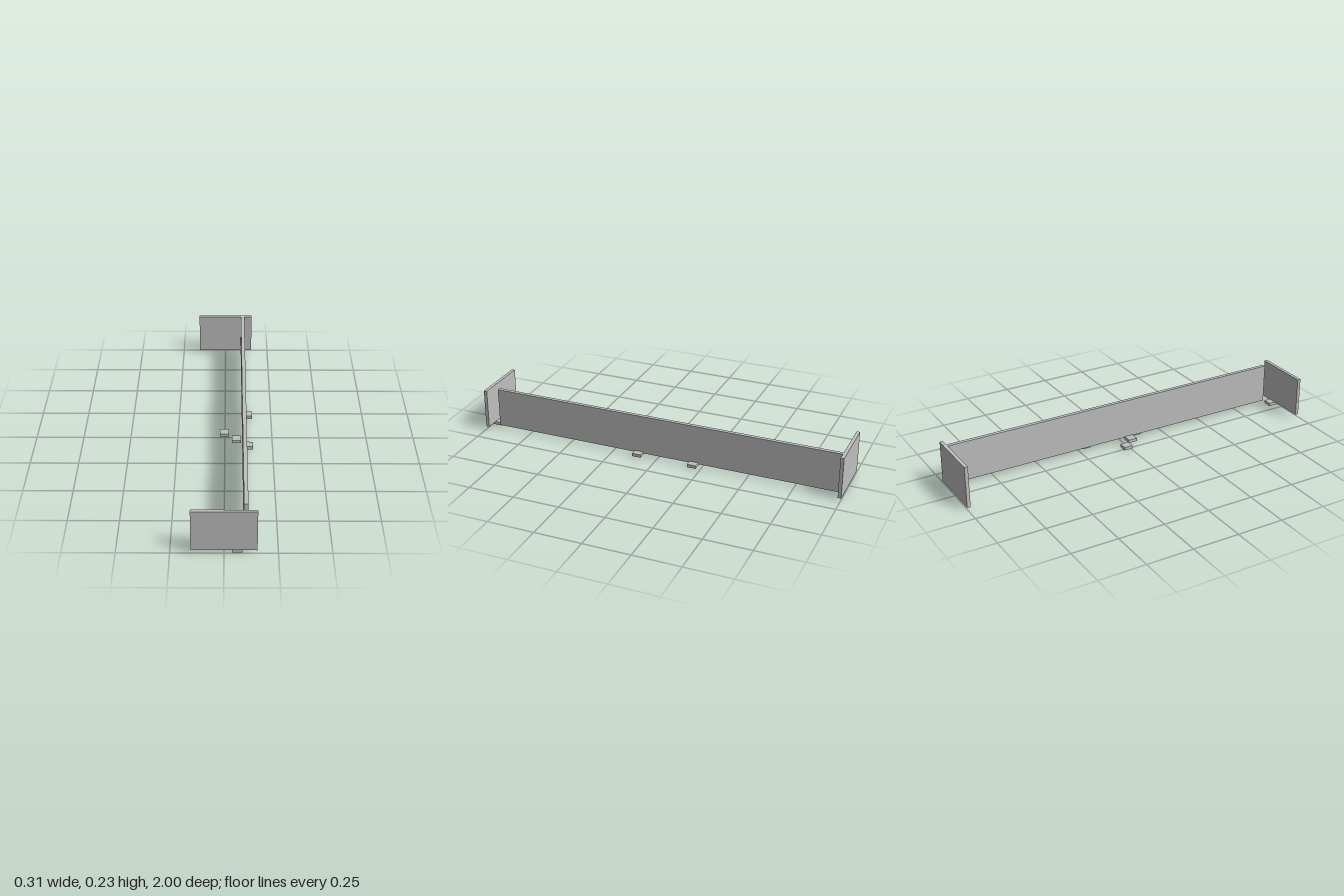
import * as THREE from 'three';

export function createModel() {
  const model = new THREE.Group();
  model.name = 'panelAssembly';
  const grey = new THREE.MeshStandardMaterial({ name: 'grey', color: 0xbfbfbf });

  // Box given by its extents along each axis
  function slab(name, [x0, x1], [y0, y1], [z0, z1]) {
    const mesh = new THREE.Mesh(new THREE.BoxGeometry(x1 - x0, y1 - y0, z1 - z0), grey);
    mesh.position.set((x0 + x1) / 2, (y0 + y1) / 2, (z0 + z1) / 2);
    mesh.name = name;
    model.add(mesh);
  }

  // Upright panels: two ends and the long wall between them
  slab('frontPanel', [-0.154, 0.154], [0.017, 0.231], [0.982, 1]);
  slab('backPanel', [-0.154, 0.154], [0.009, 0.231], [-1, -0.982]);
  slab('longWall', [0.091, 0.111], [0.017, 0.231], [-0.982, 0.938]);

  // Small square feet: centre x, bottom y, centre z
  const half = 0.024, thick = 0.017;
  const feet = [
    ['frontFoot', 0.061, 0, 0.97],
    ['outerFrontFoot', 0.123, 0.008, 0.104],
    ['outerBackFoot', 0.123, 0.008, -0.206],
    ['innerFrontFoot', 0.061, 0.008, 0.042],
    ['innerBackFoot', -0.001, 0.008, -0.021],
  ];
  for (const [name, x, y, z] of feet) {
    slab(name, [x - half, x + half], [y, y + thick], [z - half, z + half]);
  }
  return model;
}
